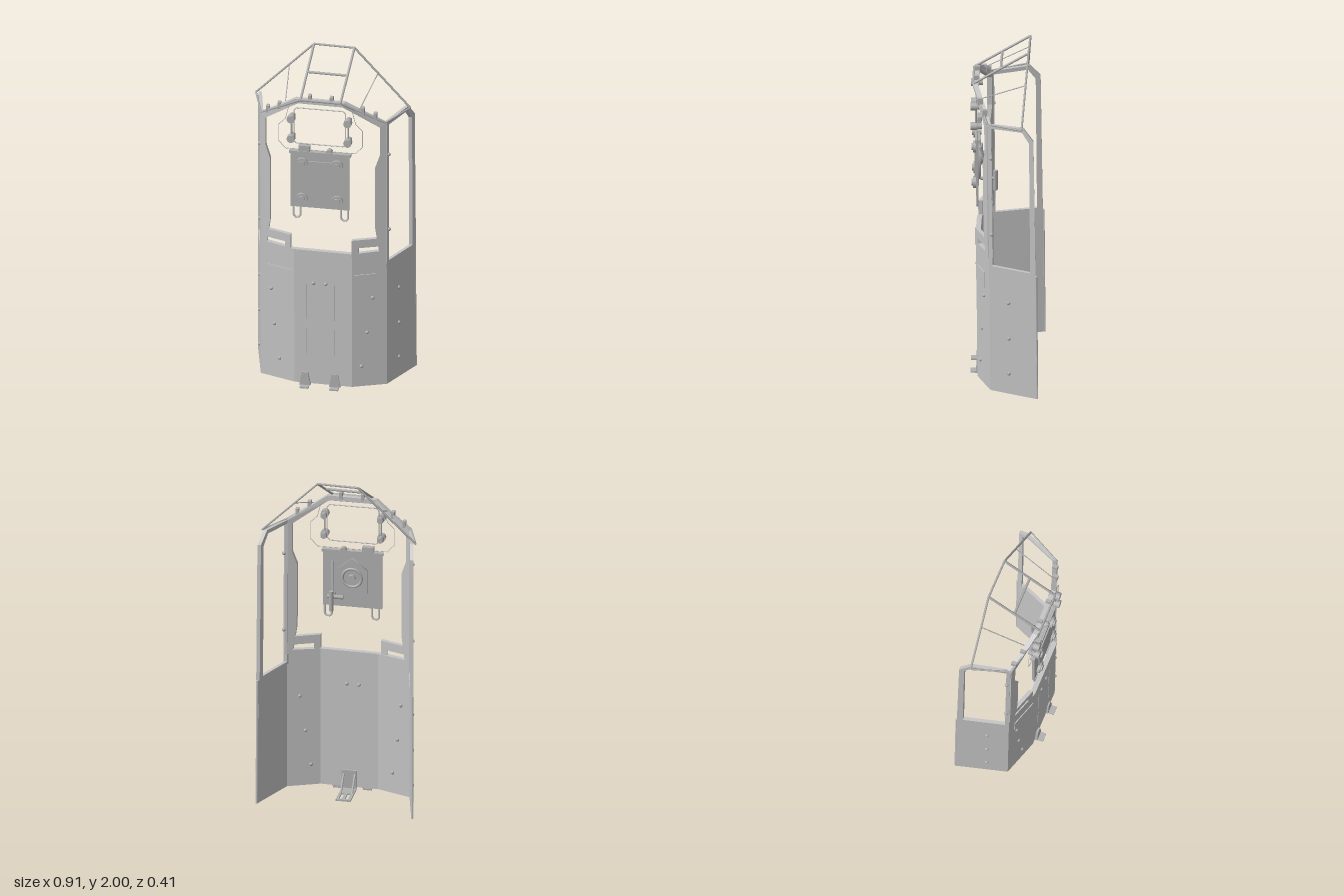
import * as THREE from 'three';

const shellGrey = new THREE.MeshStandardMaterial({ color: 0xc4c4c4, side: THREE.DoubleSide });
shellGrey.name = 'shell grey';
const fittingGrey = new THREE.MeshStandardMaterial({ color: 0xb0b0b0, side: THREE.DoubleSide });
fittingGrey.name = 'fitting grey';

const V = (x, y, z) => new THREE.Vector3(x, y, z);

// Faceted plan of the front wall: x to z, leaning slightly forward with height
const plan = [[-0.385, 0.085], [-0.18, 0.158], [0.15, 0.165], [0.335, 0.09]];
function frontZ(x, y) {
  let i = 0;
  while (i < 2 && x > plan[i + 1][0]) i++;
  const [x0, z0] = plan[i], [x1, z1] = plan[i + 1];
  return z0 + (z1 - z0) * (x - x0) / (x1 - x0) + 0.01 * y;
}
const front = (x, y, d = 0) => V(x, y, frontZ(x, y) + d);

// Side wings: f runs from the front crease (0) to the rear edge (1)
const wings = {
  left: { a: [0.335, 0.09], b: [0.455, -0.175], s: 1 },
  right: { a: [-0.385, 0.085], b: [-0.455, -0.205], s: -1 },
};
function wingPoint(w, f, y, d = 0) {
  return V(w.a[0] + (w.b[0] - w.a[0]) * f + d * w.s, y, w.a[1] + 0.01 * y * (1 - f) + (w.b[1] - w.a[1]) * f);
}

// Skin a series of equal cross-sections (each a ring of points)
function loft(rings, closed) {
  const pos = [], n = rings[0].length;
  const tri = (...p) => p.forEach(v => pos.push(v.x, v.y, v.z));
  const last = closed ? rings.length : rings.length - 1;
  for (let i = 0; i < last; i++) {
    const A = rings[i], B = rings[(i + 1) % rings.length];
    for (let j = 0; j < n; j++) {
      const k = (j + 1) % n;
      tri(A[j], B[j], B[k]);
      tri(A[j], B[k], A[k]);
    }
  }
  if (!closed) for (const r of [rings[0], rings[rings.length - 1]])
    for (let j = 1; j < n - 1; j++) tri(r[0], r[j], r[j + 1]);
  const g = new THREE.BufferGeometry();
  g.setAttribute('position', new THREE.Float32BufferAttribute(pos, 3));
  g.computeVertexNormals();
  return g;
}
// Flat band between two outlines, mapped onto a wall
function band(outer, inner, map, d0, d1, closed = true) {
  return loft(outer.map((o, i) => {
    const q = inner[i];
    return [map(...o, d1), map(...q, d1), map(...q, d0), map(...o, d0)];
  }), closed);
}

export function createModel() {
  const group = new THREE.Group();
  const add = (name, geo, mat = shellGrey) => {
    const m = new THREE.Mesh(geo, mat);
    m.name = name;
    group.add(m);
    return m;
  };
  const bar = (name, a, b, r = 0.005, mat = fittingGrey) => {
    const d = b.clone().sub(a);
    const m = add(name, new THREE.CylinderGeometry(r, r, d.length(), 6), mat);
    m.position.copy(a).addScaledVector(d, 0.5);
    m.quaternion.setFromUnitVectors(V(0, 1, 0), d.normalize());
    return m;
  };
  const box = (name, w, h, d, x, y, z, mat = fittingGrey) => {
    const m = add(name, new THREE.BoxGeometry(w, h, d), mat);
    m.position.set(x, y, z);
    return m;
  };
  const disc = (name, r, x, y, z0, z1, sides = 16) => bar(name, V(x, y, z0), V(x, y, z1), r).geometry =
    new THREE.CylinderGeometry(r, r, z1 - z0, sides);
  const rivet = (p) => add('rivet', new THREE.SphereGeometry(0.011, 10, 8), fittingGrey).position.copy(p);

  // Lower front wall
  add('lowerFrontPanel', band(plan.map(p => [p[0], 0.835]), plan.map(p => [p[0], 0.015]), front, -0.012, 0, false));

  // Front window frame
  const outer = [[-0.385, 0.83], [-0.385, 1.0], [-0.385, 1.38], [-0.385, 1.46], [-0.385, 1.65], [-0.17, 1.795], [0.11, 1.795],
    [0.335, 1.65], [0.335, 1.46], [0.335, 1.38], [0.335, 1.0], [0.335, 0.83], [0.15, 0.83], [-0.18, 0.83]];
  const inner = [[-0.345, 0.855], [-0.325, 1.0], [-0.325, 1.38], [-0.352, 1.46], [-0.352, 1.63], [-0.155, 1.768], [0.1, 1.768],
    [0.302, 1.63], [0.302, 1.46], [0.275, 1.38], [0.275, 1.0], [0.295, 0.855], [0.15, 0.85], [-0.18, 0.85]];
  add('frontWindowFrame', band(outer, inner, front, -0.022, 0.006));
  // Slotted corner braces
  for (const [xo, xi, xm] of [[-0.36, -0.2, -0.235], [0.31, 0.15, 0.185]]) {
    add('cornerBrace', band([[xo, 0.935], [xi, 0.935]], [[xo, 0.885], [xi, 0.885]], front, -0.018, 0.006, false));
    add('cornerPost', band([[xm, 0.9], [xi, 0.9]], [[xm, 0.835], [xi, 0.835]], front, -0.018, 0.006, false));
  }

  // Wings: solid lower panels and open upper frames
  const wo = [[0, 0.77], [0, 1.655], [0.72, 1.67], [0.92, 1.6], [0.96, 0.77]];
  const wi = [[0.07, 0.785], [0.07, 1.635], [0.69, 1.645], [0.83, 1.585], [0.85, 0.785]];
  for (const side of ['left', 'right']) {
    const w = wings[side], map = (f, y, d) => wingPoint(w, f, y, d);
    add(side + 'WingPanel', band([[0, 0.77], [0.96, 0.77]], [[0, 0.015], [1, 0.015]], map, -0.012, 0, false));
    add(side + 'WingFrame', band(wo, wi, map, -0.018, 0.002));
    for (const y of [0.575, 0.355, 0.14]) rivet(map(0.4, y, 0));
    for (const y of [0.98, 1.45]) rivet(map(0.06, y, 0.003));
    bar('wingEdgeTrim', map(0.97, 0.77, -0.006), map(0.99, 0.015, -0.006), 0.007, shellGrey);
  }

  // Rivets, pocket plates and ribs on the lower wall
  for (const [x, y] of [[-0.32, 0.565], [0.26, 0.565], [-0.3, 0.35], [0.23, 0.35], [-0.27, 0.14], [0.2, 0.14],
    [-0.07, 0.645], [0.0, 0.645]]) {
    rivet(front(x, y));
    rivet(front(x, y, -0.012));
  }
  for (const xs of [[-0.34, -0.19], [0.16, 0.275]])
    add('pocketPlate', band(xs.map(x => [x, 0.715]), xs.map(x => [x, 0.615]), front, 0, 0.005, false));
  for (const x of [-0.11, 0.05])
    for (const [y0, y1] of [[0.2, 0.36], [0.42, 0.64]]) bar('panelRib', front(x, y0), front(x, y1), 0.003, shellGrey);

  // Canopy frame
  const tops = [V(-0.45, 1.67, -0.112), V(-0.122, 1.993, -0.128), V(0.11, 1.993, -0.12), V(0.435, 1.665, -0.085)];
  const lows = [front(-0.38, 1.655), V(-0.14, 1.793, 0.187), V(0.088, 1.793, 0.19), front(0.33, 1.655)];
  for (let i = 0; i < 3; i++) {
    bar('canopyRearRail', tops[i], tops[i + 1], 0.006);
    bar('canopyFrontRail', lows[i], lows[i + 1], 0.007);
  }
  for (let i = 0; i < 4; i++) bar('canopyRib', tops[i], lows[i], i % 3 ? 0.007 : 0.005);
  bar('canopyCrossbar', tops[1].clone().lerp(lows[1], 0.5), tops[2].clone().lerp(lows[2], 0.5), 0.007);
  bar('canopyWire', V(-0.26, 1.86, -0.118), V(-0.235, 1.735, 0.15), 0.003);
  bar('canopyWire', V(0.248, 1.857, -0.105), V(0.19, 1.745, 0.155), 0.003);
  for (const [x, y] of [[-0.34, 1.685], [-0.27, 1.725], [-0.09, 1.8], [0.035, 1.8], [0.21, 1.74], [0.275, 1.7]])
    box('canopyClip', 0.018, 0.04, 0.03, x, y, frontZ(x, y) - 0.01);

  // Viewport outline with bolts and side rods
  const loop = (name, pts, z, r) => pts.forEach((p, i) => {
    const q = pts[(i + 1) % pts.length];
    bar(name, V(...p, z), V(...q, z), r, shellGrey);
  });
  loop('viewportRim', [[-0.18, 1.53], [-0.165, 1.515], [0.1, 1.515], [0.115, 1.53], [0.115, 1.72], [0.1, 1.735],
    [-0.165, 1.735], [-0.18, 1.72]], 0.172, 0.003);
  loop('viewportSurround', [[-0.27, 1.52], [-0.23, 1.475], [0.17, 1.475], [0.21, 1.52], [0.21, 1.62], [0.17, 1.66],
    [0.15, 1.74], [0.1, 1.765], [-0.16, 1.765], [-0.21, 1.74], [-0.23, 1.66], [-0.27, 1.62]], 0.166, 0.002);
  for (const x of [-0.193, 0.13]) {
    bar('viewportRod', V(x, 1.55, 0.175), V(x, 1.67, 0.175), 0.005);
    for (const y of [1.55, 1.672]) {
      disc('viewportBolt', 0.023, x, y, 0.172, 0.205);
      disc('viewportNut', 0.018, x, y, 0.14, 0.172, 6);
    }
  }

  // Central device plate
  const px = -0.032, py = 1.285;
  box('devicePlate', 0.335, 0.33, 0.014, px, py, 0.168);
  box('devicePad', 0.21, 0.25, 0.008, px, py, 0.178);
  box('deviceTopRail', 0.35, 0.016, 0.026, px, 1.458, 0.165);
  box('deviceTopTab', 0.065, 0.04, 0.03, -0.122, 1.48, 0.16);
  disc('deviceTopKnob', 0.018, 0.02, 1.468, 0.145, 0.175);
  for (const x of [-0.132, 0.068]) for (const y of [1.175, 1.395]) {
    disc('deviceBolt', 0.034, x, y, 0.175, 0.191, 20);
    disc('deviceBoltCap', 0.02, x, y, 0.19, 0.2, 12);
  }
  for (const x of [-0.163, 0.108])
    loop('deviceLoop', [[x - 0.02, 1.13], [x - 0.02, 1.065], [x - 0.01, 1.053], [x + 0.01, 1.053], [x + 0.02, 1.065],
      [x + 0.02, 1.13]], 0.167, 0.006);

  // Rear grip mechanism
  const diamond = add('gripBasePlate', new THREE.CylinderGeometry(0.125, 0.125, 0.012, 6), fittingGrey);
  diamond.rotation.x = Math.PI / 2;
  diamond.scale.set(0.8, 1, 1.1);
  diamond.position.set(px, py, 0.155);
  add('gripRing', new THREE.TorusGeometry(0.055, 0.008, 8, 20), fittingGrey).position.set(px, py + 0.02, 0.146);
  disc('gripHub', 0.022, px, py + 0.02, 0.125, 0.152, 8);
  bar('gripArm', V(0.08, 1.4, 0.15), V(0.07, 1.22, 0.105), 0.009);
  bar('gripHandle', V(0.01, 1.2, 0.105), V(0.1, 1.2, 0.105), 0.012);
  bar('gripPost', V(0.07, 1.13, 0.065), V(0.07, 1.25, 0.065), 0.013);
  bar('gripLink', V(0.07, 1.2, 0.065), V(0.07, 1.2, 0.15), 0.01);

  // Slotted rear foot with upright bracket
  const foot = new THREE.Shape([[-0.06, -0.13], [0.025, -0.13], [0.025, 0.03], [-0.06, 0.03]].map(p => new THREE.Vector2(...p)));
  for (const x of [-0.042, -0.008]) {
    const slot = [[x, -0.06], [x + 0.018, -0.06], [x + 0.018, 0.018], [x, 0.018]];
    foot.holes.push(new THREE.Path(slot.map(p => new THREE.Vector2(...p))));
  }
  const footMesh = add('rearFoot', new THREE.ExtrudeGeometry(foot, { depth: 0.01, bevelEnabled: false }), fittingGrey);
  footMesh.rotation.x = -Math.PI / 2;
  footMesh.position.y = 0.004;
  box('footBracket', 0.085, 0.11, 0.012, -0.018, 0.065, 0.142);
  for (const x of [-0.05, 0.014]) bar('footStay', V(x, 0.1, 0.142), V(x, 0.014, 0.06), 0.006);

  // Front toe clips
  for (const x of [-0.118, 0.052]) {
    add('toeClip', loft([
      [V(x - 0.017, 0.085, 0.155), V(x + 0.017, 0.085, 0.155), V(x + 0.017, 0.085, 0.172), V(x - 0.017, 0.085, 0.172)],
      [V(x - 0.032, 0.008, 0.155), V(x + 0.032, 0.008, 0.155), V(x + 0.032, 0.008, 0.174), V(x - 0.032, 0.008, 0.174)],
    ], false), fittingGrey);
    box('toePlate', 0.05, 0.008, 0.055, x, 0.004, 0.178);
  }
  return group;
}
